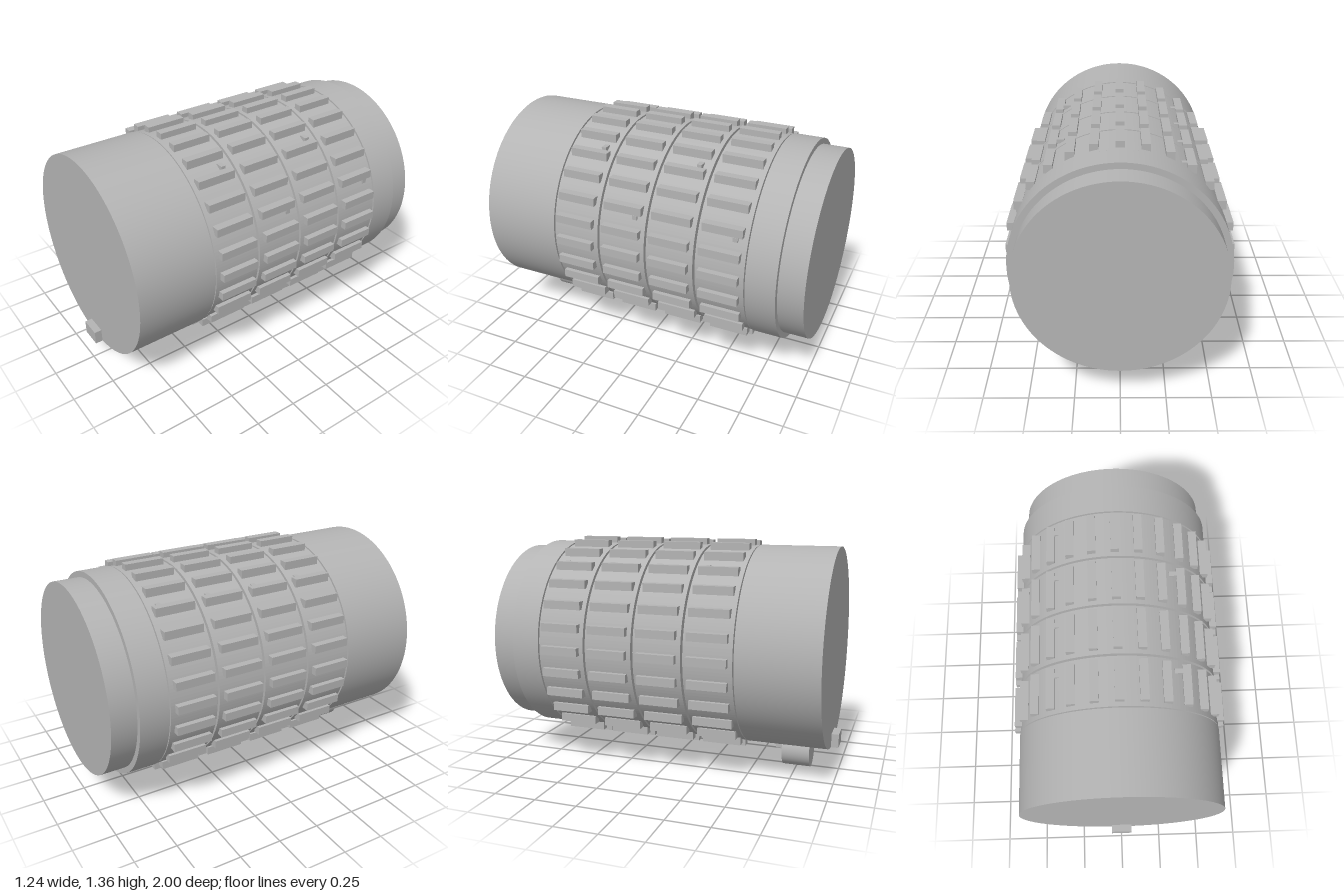
import * as THREE from 'three';

const AXIS_Y = 0.742;

export function createModel() {
  const model = new THREE.Group();
  const grey = new THREE.MeshStandardMaterial({ color: 0xb4b4b4 });
  grey.name = 'plain grey';

  const add = (parent, name, geometry, x, y, z) => {
    const mesh = new THREE.Mesh(geometry, grey);
    mesh.name = name;
    mesh.position.set(x, y, z);
    parent.add(mesh);
    return mesh;
  };
  // Solid drum lying along z between two depths
  const drum = (name, radius, z0, z1, y = AXIS_Y) => {
    const geometry = new THREE.CylinderGeometry(radius, radius, z1 - z0, 96).rotateX(Math.PI / 2);
    return add(model, name, geometry, 0, y, (z0 + z1) / 2);
  };

  // Body ends and inner shaft
  drum('frontBarrel', 0.59, 0.492, 0.957);
  drum('rearCollar', 0.59, -0.855, -0.686);
  drum('rearCap', 0.556, -1, -0.855);
  drum('innerShaft', 0.43, -0.69, 0.5);
  drum('frontShoulder', 0.485, 0.48, 0.495);

  // Dial rings with axis-aligned grip blocks
  const ringLength = 0.281;
  const ringShape = new THREE.Shape().absarc(0, 0, 0.587, 0, Math.PI * 2);
  ringShape.holes.push(new THREE.Path().absarc(0, 0, 0.432, 0, Math.PI * 2, true));
  const ringGeometry = new THREE.ExtrudeGeometry(ringShape, {
    depth: ringLength, bevelEnabled: false, curveSegments: 96,
  }).translate(0, 0, -ringLength / 2);
  const gripGeometry = new THREE.BoxGeometry(0.048, 0.048, 0.23);
  const pinGeometry = new THREE.BoxGeometry(0.045, 0.025, 0.028);
  const gripCount = 28;

  for (let i = 0; i < 4; i++) {
    const ring = new THREE.Group();
    ring.name = 'dialRing' + (i + 1);
    ring.position.set(0, AXIS_Y, 0.344 - i * 0.294);
    model.add(ring);
    add(ring, 'ringBand', ringGeometry, 0, 0, 0);
    for (let k = 0; k < gripCount; k++) {
      const a = (k / gripCount) * Math.PI * 2;
      add(ring, 'gripBlock', gripGeometry, Math.sin(a) * 0.598, Math.cos(a) * 0.598, 0);
    }
    // Small marker pins beside the grips
    add(ring, 'markerPin', pinGeometry, -0.332, 0.479, -0.073);
    if (i % 2 === 0) add(ring, 'markerPin', pinGeometry, 0.328, 0.495, -0.073);
    else add(ring, 'markerPin', pinGeometry, 0.534, 0.218, -0.073);
  }

  // Latch tab on the front face and release knob underneath
  add(model, 'frontTab', new THREE.BoxGeometry(0.126, 0.082, 0.05), 0, 0.194, 0.975);
  drum('releaseKnob', 0.105, 0.67, 0.835, 0.105);
  add(model, 'knobTab', new THREE.BoxGeometry(0.06, 0.052, 0.06), 0, 0.127, 0.65);

  return model;
}
